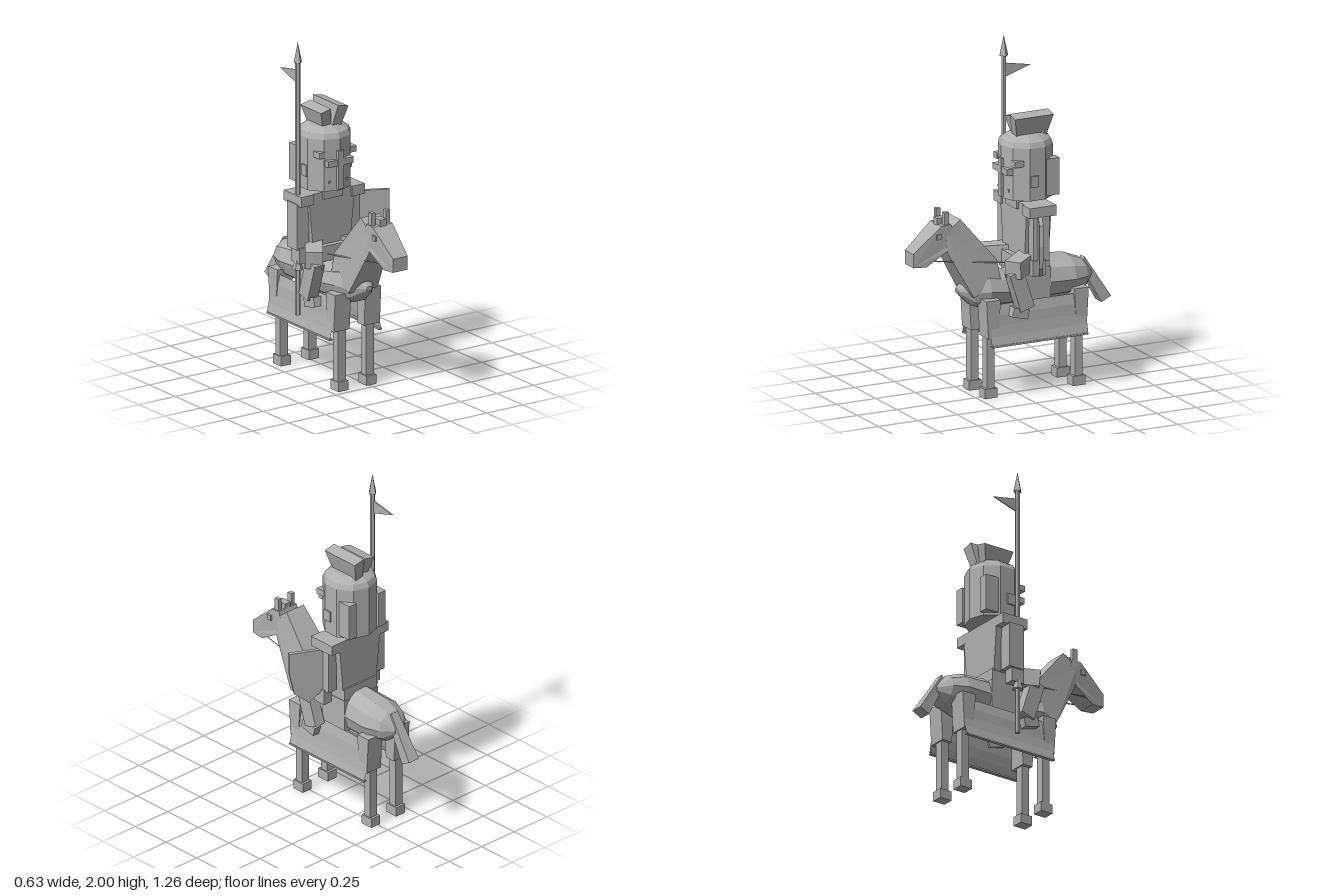
import * as THREE from 'three';

const grey = new THREE.MeshStandardMaterial({ color: 0xb0b0b0, flatShading: true, side: THREE.DoubleSide });
grey.name = 'stone grey';

export function createModel() {
  const model = new THREE.Group();
  model.name = 'mountedKnight';
  // horse and rider share a symmetry plane slightly right of the origin
  const rider = new THREE.Group(), horse = new THREE.Group();
  rider.name = 'rider';
  horse.name = 'horse';
  rider.position.x = horse.position.x = -0.079;
  model.add(rider, horse);

  const add = (parent, name, geo, x = 0, y = 0, z = 0) => {
    const m = new THREE.Mesh(geo, grey);
    m.name = name;
    m.position.set(x, y, z);
    parent.add(m);
    return m;
  };
  // box given by its limits; top scaled by tx, tz
  const box = (parent, name, x0, x1, y0, y1, z0, z1, bx = 1, bz = 1) => {
    const g = new THREE.BoxGeometry(x1 - x0, y1 - y0, z1 - z0);
    const p = g.attributes.position;
    for (let i = 0; i < p.count; i++)
      if (p.getY(i) < 0) p.setXYZ(i, p.getX(i) * bx, p.getY(i), p.getZ(i) * bz);
    g.computeVertexNormals();
    return add(parent, name, g, (x0 + x1) / 2, (y0 + y1) / 2, (z0 + z1) / 2);
  };
  // side outline of (z, y) points, with half width given by a rule
  const slab = (points, half) => {
    const g = new THREE.ExtrudeGeometry(new THREE.Shape(points.map(q => new THREE.Vector2(...q))), { depth: 2, bevelEnabled: false });
    g.translate(0, 0, -1).rotateY(-Math.PI / 2);
    const p = g.attributes.position;
    for (let i = 0; i < p.count; i++) p.setX(i, p.getX(i) * half(p.getZ(i), p.getY(i)));
    g.computeVertexNormals();
    return g;
  };
  const rod = (parent, name, a, b, r, sides = 6) => {
    const A = new THREE.Vector3(...a), B = new THREE.Vector3(...b), d = B.clone().sub(A);
    const m = add(parent, name, new THREE.CylinderGeometry(r, r, d.length(), sides));
    m.position.copy(A).add(B).multiplyScalar(0.5);
    m.quaternion.setFromUnitVectors(new THREE.Vector3(0, 1, 0), d.normalize());
    return m;
  };

  // horse barrel: rings of z, lowest y, highest y, half width
  const rings = [[0.33, 0.6, 0.63, 0.02], [0.25, 0.52, 0.7, 0.09], [0.17, 0.49, 0.74, 0.125], [0.02, 0.49, 0.7, 0.125],
    [-0.2, 0.49, 0.76, 0.13], [-0.36, 0.5, 0.745, 0.138], [-0.45, 0.53, 0.71, 0.105], [-0.51, 0.59, 0.64, 0.035]];
  const N = 10, verts = [], faces = [];
  rings.forEach(([z, lo, hi, w], i) => {
    for (let a = 0; a < N; a++) {
      const t = a / N * Math.PI * 2;
      verts.push(w * Math.cos(t), (lo + hi) / 2 + (hi - lo) / 2 * Math.sin(t), z);
      if (i === rings.length - 1) continue;
      const p = i * N + a, q = i * N + (a + 1) % N;
      faces.push(p, p + N, q, q, p + N, q + N);
    }
  });
  const last = (rings.length - 1) * N;
  for (let a = 1; a < N - 1; a++) faces.push(0, a, a + 1, last, last + a + 1, last + a);
  const barrel = new THREE.BufferGeometry();
  barrel.setAttribute('position', new THREE.Float32BufferAttribute(verts, 3));
  barrel.setIndex(faces);
  barrel.computeVertexNormals();
  add(horse, 'barrel', barrel);

  // neck, head and tail
  add(horse, 'neck', slab([[0.27, 0.59], [0.42, 0.86], [0.43, 0.98], [0.34, 1.05], [0.12, 0.79], [0.1, 0.66]],
    (z, y) => y < 0.75 ? 0.1 : y < 0.8 ? 0.09 : 0.066));
  add(horse, 'head', slab([[0.63, 0.8], [0.63, 0.88], [0.46, 1.025], [0.4, 1.03], [0.37, 0.93], [0.43, 0.87], [0.55, 0.795]],
    z => z > 0.6 ? 0.05 : z > 0.5 ? 0.056 : 0.068));
  add(horse, 'tail', slab([[-0.45, 0.65], [-0.47, 0.71], [-0.63, 0.465], [-0.57, 0.435]], z => z < -0.5 ? 0.038 : 0.025));
  box(horse, 'forelock', -0.022, 0.022, 1.0, 1.06, 0.4, 0.465);

  for (const s of [-1, 1]) {
    const side = (parent, name, a, b, ...rest) => box(parent, name, Math.min(s * a, s * b), Math.max(s * a, s * b), ...rest);
    side(horse, 'ear', 0.037, 0.063, 1.0, 1.1, 0.41, 0.44);
    side(horse, 'eye', 0.06, 0.075, 0.95, 0.98, 0.46, 0.49);
    rod(horse, 'rein', [s * 0.06, 0.825, 0.5], [s * 0.1, 0.77, 0.07], 0.004, 4);

    // legs, front pair then hind pair
    for (const z of [0.178, -0.38]) {
      side(horse, 'upperLeg', 0.05, 0.158, 0.355, 0.575, z - 0.045, z + 0.045, 1, 0.72);
      side(horse, 'lowerLeg', 0.07, 0.124, 0.05, 0.37, z - 0.024, z + 0.024);
      side(horse, 'hoof', 0.062, 0.13, 0, 0.056, z - 0.039, z + 0.039);
    }

    // hanging cloth, flaring at the hem
    const cloth = new THREE.PlaneGeometry(0.61, 0.24, 1, 4);
    cloth.rotateY(s * Math.PI / 2);
    const p = cloth.attributes.position, flare = [0.178, 0.164, 0.156, 0.152, 0.14];
    for (let i = 0; i < p.count; i++) p.setX(i, s * flare[Math.round((p.getY(i) + 0.12) / 0.06)]);
    cloth.computeVertexNormals();
    add(horse, 'sideCloth', cloth, 0, 0.425, -0.107);
    side(horse, 'clothHem', 0.16, 0.18, 0.305, 0.315, -0.412, 0.198);

    // rider legs, astride
    const thigh = add(rider, 'thigh', new THREE.BoxGeometry(0.1, 0.1, 0.18), s * 0.15, 0.76, 0.005);
    thigh.rotation.set(0.1, s * 0.6, 0, 'YXZ');
    const shin = add(rider, 'shin', new THREE.BoxGeometry(0.07, 0.23, 0.09), s * 0.178, 0.625, 0.025);
    shin.rotation.x = 0.31;
    const boot = add(rider, 'boot', new THREE.BoxGeometry(0.055, 0.055, 0.1), s * 0.17, 0.49, 0.025);
    boot.rotation.x = -0.25;

    // shoulders and arms
    side(rider, 'shoulder', 0.13, 0.218, 1.04, 1.1, -0.19, -0.02);
    side(rider, 'arm', 0.145, s < 0 ? 0.225 : 0.205, 0.78, 1.05, -0.15, -0.05);
    side(rider, 'hand', 0.155, 0.215, 0.7, 0.79, -0.125, -0.04);

    // helmet fittings
    side(rider, 'helmetSideBlock', 0.085, 0.14, 1.135, 1.35, -0.25, -0.165);
    side(rider, 'helmetPin', 0.13, 0.157, 1.2, 1.265, -0.11, -0.06);
    side(rider, 'browPlate', 0.085, 0.128, 1.32, 1.355, -0.03, 0.028);
    side(rider, 'breathStud', 0.05, 0.064, 1.165, 1.18, 0.01, 0.035);
  }

  // saddle, torso and neck
  box(horse, 'saddle', -0.13, 0.13, 0.52, 0.72, -0.2, -0.02);
  box(rider, 'belt', -0.125, 0.125, 0.7, 0.79, -0.195, 0);
  box(rider, 'torso', -0.16, 0.16, 0.78, 1.1, -0.19, -0.03, 0.8, 0.95);
  box(rider, 'collar', -0.065, 0.065, 1.06, 1.14, -0.16, -0.015);

  // ten-sided helmet
  const helm = [[0, 1.12], [0.155, 1.12], [0.155, 1.425], [0.142, 1.455], [0.095, 1.485], [0, 1.487]];
  add(rider, 'helmet', new THREE.LatheGeometry(helm.map(q => new THREE.Vector2(...q)), 10), 0, 0, -0.107);
  box(rider, 'visorUpright', -0.019, 0.019, 1.13, 1.355, 0.02, 0.058);
  box(rider, 'visorCrossbar', -0.085, 0.088, 1.268, 1.305, -0.01, 0.056);

  // pair of splayed plumes
  for (const [s, h, l] of [[-1, 0.105, 0.1], [1, 0.125, 0.122]]) {
    const plume = add(rider, 'plume', slab([[-l, h], [-l + 0.03, -0.01], [l - 0.03, -0.01], [l, h]], (z, y) => y > 0 ? 0.036 : 0.028),
      s * 0.026, 1.475, -0.118);
    plume.rotation.z = -s * 0.22;
  }

  // lance with guard, tip and pennant
  const lance = new THREE.Group();
  lance.name = 'lance';
  lance.position.set(-0.281, 0, -0.077);
  model.add(lance);
  rod(lance, 'shaft', [0, 0.39, 0], [0, 1.89, 0], 0.015);
  add(lance, 'tip', new THREE.ConeGeometry(0.028, 0.12, 4), 0, 1.94, 0);
  add(lance, 'guard', new THREE.CylinderGeometry(0.015, 0.032, 0.06, 6), 0, 0.69, 0);
  add(lance, 'pennant', slab([[-0.01, 1.835], [-0.168, 1.805], [-0.01, 1.755]], () => 0.003));

  // shield, angled outwards on the left arm
  const outline = [[-0.115, 1.043], [-0.115, 0.92], [-0.085, 0.785], [0, 0.717], [0.085, 0.785], [0.115, 0.92], [0.115, 1.043]];
  const shield = add(model, 'shield', new THREE.ExtrudeGeometry(new THREE.Shape(outline.map(q => new THREE.Vector2(...q))),
    { depth: 0.022, bevelEnabled: false }), 0.2, 0, -0.068);
  shield.rotation.y = -0.45;
  return model;
}
